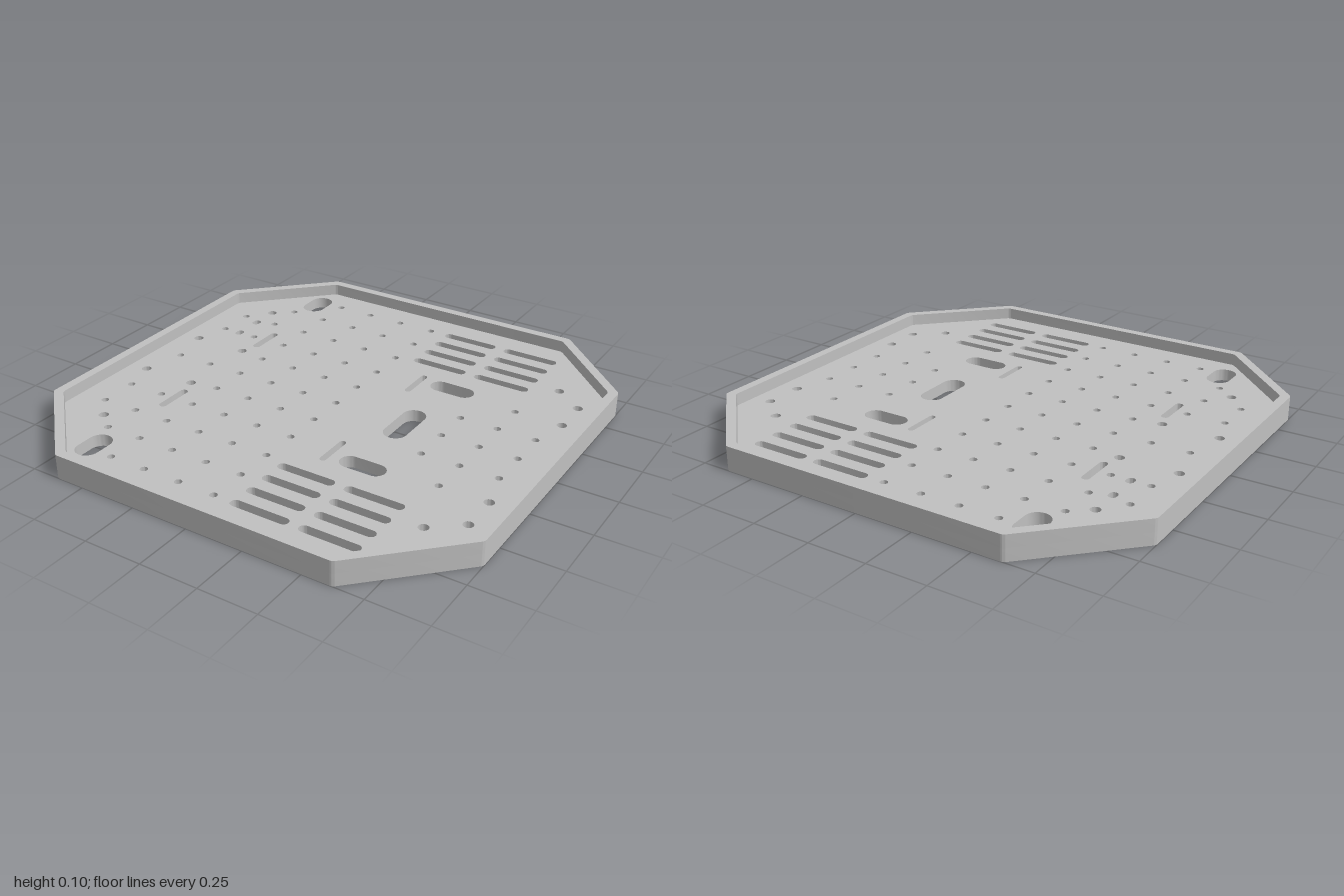
import * as THREE from 'three';
import { toCreasedNormals } from 'three/addons/utils/BufferGeometryUtils.js';

const HEIGHT = 0.104, FLOOR = 0.052, WALL = 0.04, PITCH = 1 / 6;

// Octagon of half-width r with slightly eased corners
function octagon(r, path = new THREE.Shape()) {
  const h = 0.625 - (1 - r) * Math.tan(Math.PI / 8);
  const pts = [[r, -h], [r, h], [h, r], [-h, r], [-r, h], [-r, -h], [-h, -r], [h, -r]]
    .map(([x, y]) => new THREE.Vector2(x, y));
  pts.forEach((p, i) => {
    const prev = pts[(i + 7) % 8], next = pts[(i + 1) % 8];
    const a = p.clone().add(prev.clone().sub(p).setLength(0.012));
    const b = p.clone().add(next.clone().sub(p).setLength(0.012));
    if (i === 0) path.moveTo(a.x, a.y); else path.lineTo(a.x, a.y);
    path.quadraticCurveTo(p.x, p.y, b.x, b.y);
  });
  path.closePath();
  return path;
}

// Round hole
function circle(x, z, r) {
  return new THREE.Path().absarc(x, z, r, 0, Math.PI * 2, true);
}

// Slot with round ends, w along x and d along z
function slot(x, z, w, d) {
  const p = new THREE.Path(), r = Math.min(w, d) / 2;
  if (w > d) {
    const k = w / 2 - r;
    p.absarc(x + k, z, r, -Math.PI / 2, Math.PI / 2, false);
    p.absarc(x - k, z, r, Math.PI / 2, Math.PI * 1.5, false);
  } else {
    const k = d / 2 - r;
    p.absarc(x, z + k, r, 0, Math.PI, false);
    p.absarc(x, z - k, r, Math.PI, Math.PI * 2, false);
  }
  p.closePath();
  return p;
}

// Extrude a plan shape so that its upper face lies at the height top
function plate(shape, depth, top, material, name) {
  const geo = new THREE.ExtrudeGeometry(shape, { depth, bevelEnabled: false, curveSegments: 10 });
  geo.rotateX(Math.PI / 2).translate(0, top, 0);
  const mesh = new THREE.Mesh(toCreasedNormals(geo, 0.7), material);
  mesh.name = name;
  return mesh;
}

export function createModel() {
  const grey = new THREE.MeshStandardMaterial({ color: 0xc0c0c0 });
  grey.name = 'grey';
  const group = new THREE.Group();
  group.name = 'perforatedTray';

  const floor = octagon(1);
  const holes = floor.holes;

  // Regular grid of small holes: column number, then its row numbers
  const all = [-5, -4, -3, -2, -1, 0, 1, 2, 3, 4, 5];
  const columns = [
    [-5, [-3, -2, 0, 2, 3]], [-4, [-4, -3, -2, 0, 2, 3, 4]],
    [-3, all], [-2, all], [-1, all], [0, all],
    [3, [-1, 0, 1]], [4, [-2, -1, 0, 1, 2]], [5, [-1, 0, 1]],
  ];
  for (const [c, rows] of columns)
    for (const r of rows) holes.push(circle(c * PITCH, r * PITCH, 0.016));

  // Features mirrored front to back
  for (const s of [-1, 1]) {
    for (const [x, z] of [[0.75, 0.6], [-0.75, 0.6], [0.875, 0.5], [0.875, 0.333],
      [-0.875, 0.185], [-0.625, 0.185]]) holes.push(circle(x, s * z, 0.021));
    for (const z of [0.533, 0.633, 0.733, 0.833])
      for (const x of [0.207, 0.507]) holes.push(slot(x, s * z, 0.255, 0.042));
    holes.push(slot(-0.6, s * 0.333, 0.034, 0.17));
    holes.push(slot(0.2, s * 0.333, 0.028, 0.17));
    holes.push(slot(0.357, s * 0.367, 0.2, 0.086));
    holes.push(slot(-0.617, s * 0.803, 0.102, 0.172));
  }

  // Single features
  holes.push(slot(0.333, 0, 0.1, 0.255));
  holes.push(slot(-0.75, -0.47, 0.034, 0.046));
  holes.push(slot(-0.75, -0.335, 0.034, 0.046));
  group.add(plate(floor, FLOOR, FLOOR, grey, 'floor'));

  // Raised rim
  const rim = octagon(1);
  rim.holes.push(octagon(1 - WALL, new THREE.Path()));
  group.add(plate(rim, HEIGHT - FLOOR, HEIGHT, grey, 'rim'));
  return group;
}
